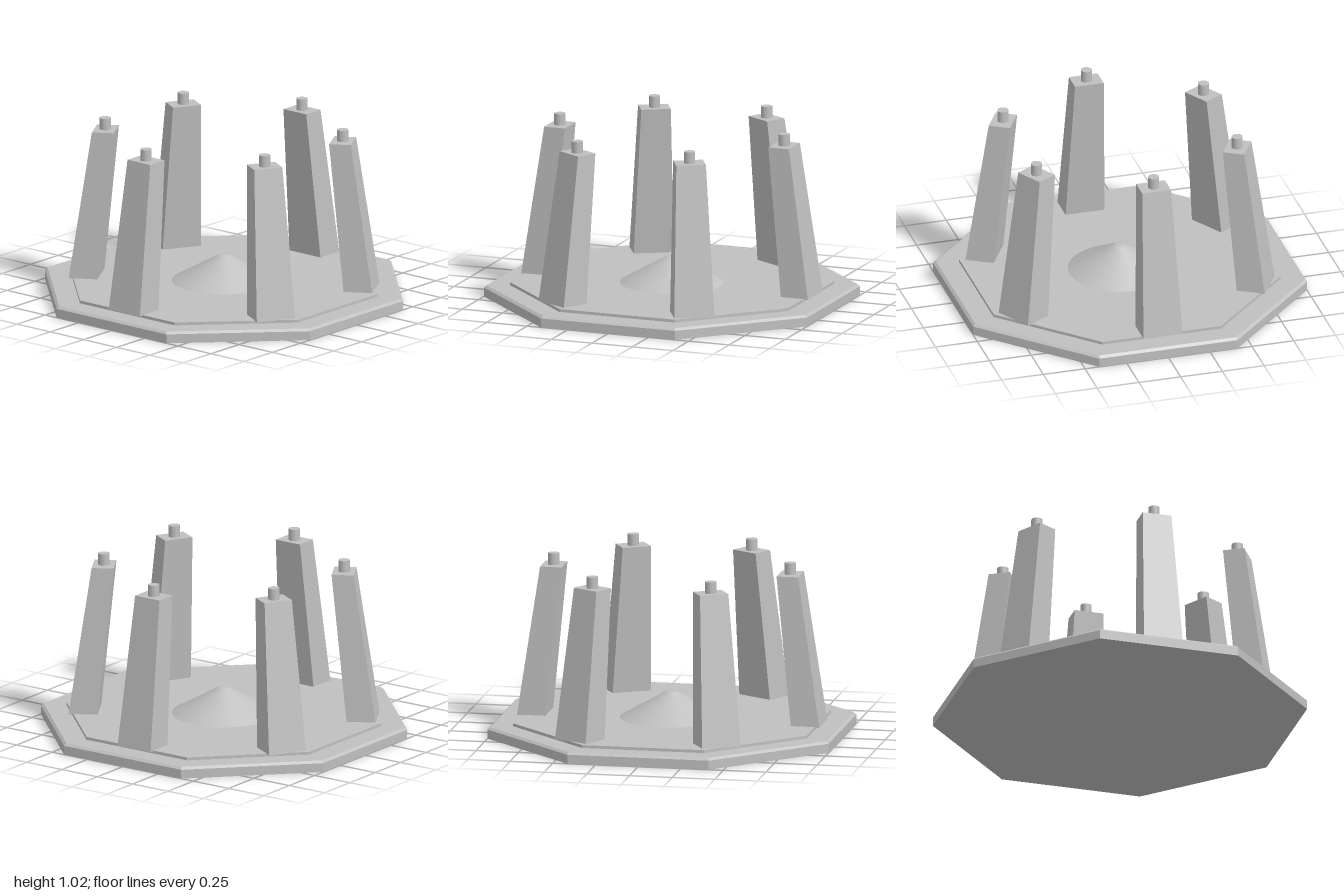
import * as THREE from 'three';

const FLOOR = 0.083, PILLAR_TOP = 0.953, PILLARS = 6;

// Octagonal slab from [apothem, y] pairs, listed from bottom to top
function octagon(profile) {
  const k = 1 / Math.cos(Math.PI / 8);
  const points = profile.map(([r, y]) => new THREE.Vector2(r * k, y));
  const geo = new THREE.LatheGeometry(points, 8, Math.PI / 8).toNonIndexed();
  geo.computeVertexNormals();
  return geo;
}

// Tapered post leaning inwards; z is the outward direction
function pillarGeometry() {
  const geo = new THREE.BoxGeometry(1, 1, 1);
  const p = geo.attributes.position;
  for (let i = 0; i < p.count; i++) {
    const top = p.getY(i) > 0, outer = p.getZ(i) > 0;
    const half = top ? 0.086 : 0.117;
    const z = top ? (outer ? 0.757 : 0.63) : (outer ? 0.887 : 0.72);
    p.setXYZ(i, Math.sign(p.getX(i)) * half, top ? PILLAR_TOP : FLOOR - 0.003, z);
  }
  geo.computeVertexNormals();
  return geo;
}

export function createModel() {
  const model = new THREE.Group();
  const stone = new THREE.MeshStandardMaterial({ color: 0xc0c0c0 });
  stone.name = 'grey stone';

  const add = (parent, name, geo) => {
    const mesh = new THREE.Mesh(geo, stone);
    mesh.name = name;
    parent.add(mesh);
    return mesh;
  };

  // Bevelled base and raised floor
  add(model, 'base', octagon([[0, 0], [1, 0], [1, 0.053], [0.985, 0.066], [0, 0.066]]));
  add(model, 'floor', octagon([[0.86, 0.066], [0.86, FLOOR], [0, FLOOR]]));

  // Smooth central mound with a small blunt tip
  const mound = [[0.3, FLOOR], [0.27, 0.1], [0.036, 0.233], [0.025, 0.237], [0, 0.237]];
  add(model, 'mound', new THREE.LatheGeometry(mound.map(([x, y]) => new THREE.Vector2(x, y)), 48));

  // Ring of leaning pillars, each with a peg on top
  const post = pillarGeometry();
  const pegGeo = new THREE.CylinderGeometry(0.033, 0.033, 0.07, 12);
  for (let i = 0; i < PILLARS; i++) {
    const pillar = new THREE.Group();
    pillar.name = `pillar${i + 1}`;
    pillar.rotation.y = (i * Math.PI * 2) / PILLARS;
    add(pillar, 'post', post);
    add(pillar, 'peg', pegGeo).position.set(0, PILLAR_TOP + 0.032, 0.694);
    model.add(pillar);
  }
  return model;
}
